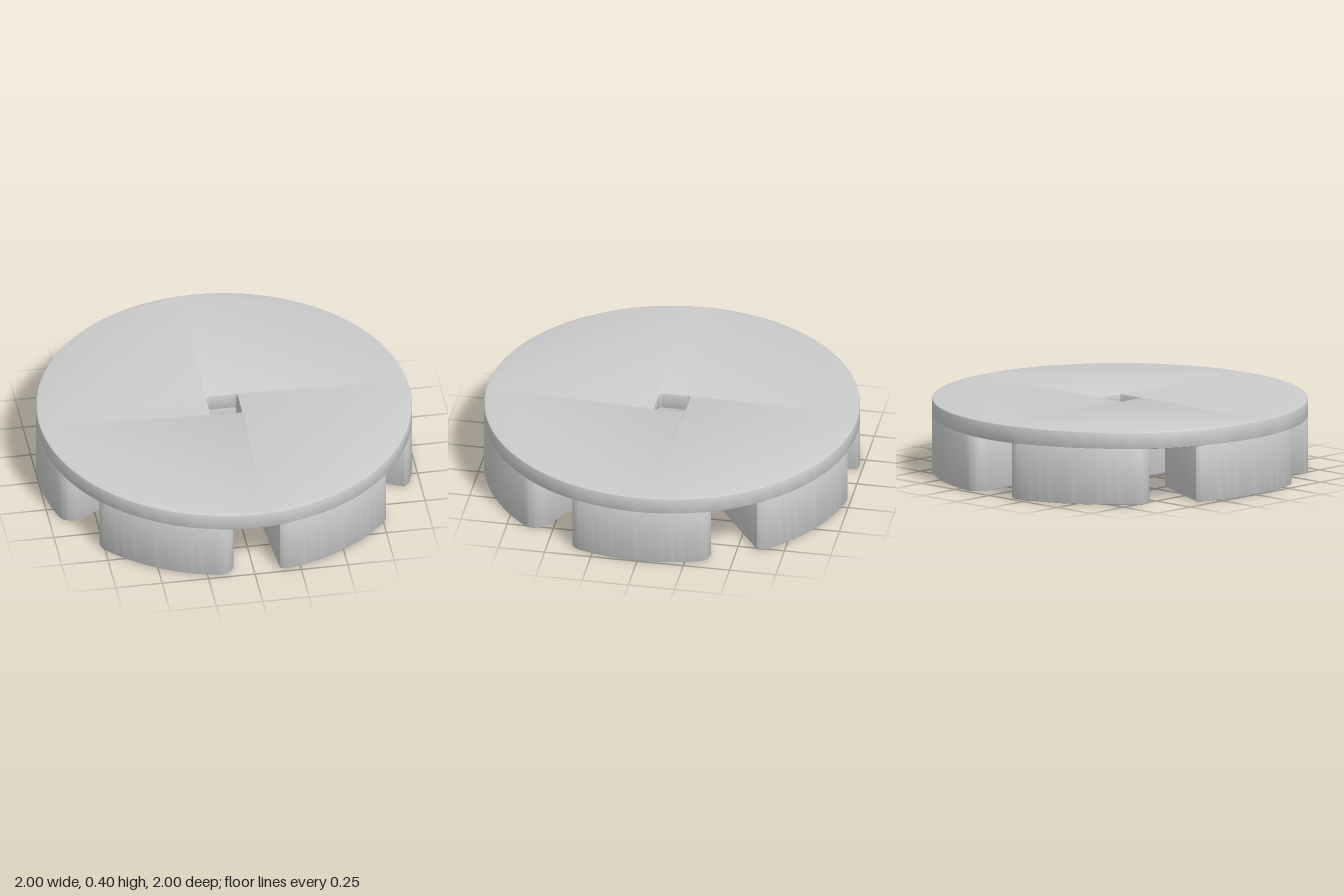
import * as THREE from 'three';
import { toCreasedNormals } from 'three/addons/utils/BufferGeometryUtils.js';

const BEVEL = 0.008;
const PLATE_Y = 0.3, TOP_Y = 0.395;
const SLOT_HALF = 0.1;      // half width of the radial slots
const FILLET = 0.08;        // outer vertical corners of the blocks
const SIXTH = Math.PI / 3;

// Extrude a plan shape upwards from y0 to y1 with softened edges
function slab(name, shape, y0, y1, curveSegments) {
  const geo = new THREE.ExtrudeGeometry(shape, {
    depth: y1 - y0 - 2 * BEVEL, curveSegments,
    bevelEnabled: true, bevelSize: BEVEL, bevelThickness: BEVEL, bevelOffset: -BEVEL, bevelSegments: 2,
  });
  geo.rotateX(-Math.PI / 2).translate(0, y0 + BEVEL, 0);
  const mesh = new THREE.Mesh(toCreasedNormals(geo, 0.5), new THREE.MeshStandardMaterial({ color: 0xcccccc }));
  mesh.name = name;
  return mesh;
}

// Square shaft hole with small rounded corners
function squareHole() {
  const h = 0.083, r = 0.015, p = new THREE.Path();
  p.moveTo(h, -h + r);
  p.lineTo(h, h - r).quadraticCurveTo(h, h, h - r, h);
  p.lineTo(-h + r, h).quadraticCurveTo(-h, h, -h, h - r);
  p.lineTo(-h, -h + r).quadraticCurveTo(-h, -h, -h + r, -h);
  p.lineTo(h - r, -h).quadraticCurveTo(h, -h, h, -h + r);
  return p;
}

// Truncated sector pointing along +x, its sides parallel to the slots
function sectorShape() {
  const inner = 0.47, r = 0.05, a = SIXTH / 2;
  const apex = SLOT_HALF / Math.sin(a);
  const halfInner = (inner - apex) * Math.tan(a);
  // outer fillet centre: tangent to the side wall and to the unit circle
  const t = Math.sqrt((1 - FILLET) ** 2 - (SLOT_HALF + FILLET) ** 2);
  const phi = a - Math.atan2(SLOT_HALF + FILLET, t);
  const cx = (1 - FILLET) * Math.cos(phi), cy = (1 - FILLET) * Math.sin(phi);
  const sx = inner + r * Math.cos(a), sy = halfInner + r * Math.sin(a);
  const s = new THREE.Shape();
  s.moveTo(inner, -halfInner + r);
  s.quadraticCurveTo(inner, -halfInner, sx, -sy);
  s.absarc(cx, -cy, FILLET, a - Math.PI / 2, -phi, false);
  s.absarc(0, 0, 1, -phi, phi, false);
  s.absarc(cx, cy, FILLET, phi, a + Math.PI / 2 - 2 * a + 2 * a, false);
  s.lineTo(sx, sy);
  s.quadraticCurveTo(inner, halfInner, inner, halfInner - r);
  s.closePath();
  return s;
}

export function createModel() {
  const model = new THREE.Group();
  model.name = 'slottedWheel';

  // Round top plate
  const disc = new THREE.Shape().absarc(0, 0, 1, 0, Math.PI * 2, false);
  disc.holes.push(squareHole());
  model.add(slab('topPlate', disc, PLATE_Y, TOP_Y, 64));

  // Hexagonal hub, corners facing the slots
  const hex = new THREE.Shape();
  hex.setFromPoints(Array.from({ length: 6 }, (_, i) => {
    const a = (i + 0.5) * SIXTH;
    return new THREE.Vector2(0.255 * Math.cos(a), 0.255 * Math.sin(a));
  }));
  hex.holes.push(squareHole());
  model.add(slab('hub', hex, 0, PLATE_Y + BEVEL, 6));

  // Six blocks under the plate, separated by slots
  const block = slab('block', sectorShape(), 0, PLATE_Y + BEVEL, 12);
  for (let i = 0; i < 6; i++) {
    const b = block.clone();
    b.name = `block${i + 1}`;
    b.rotation.y = i * SIXTH;
    model.add(b);
  }
  return model;
}
